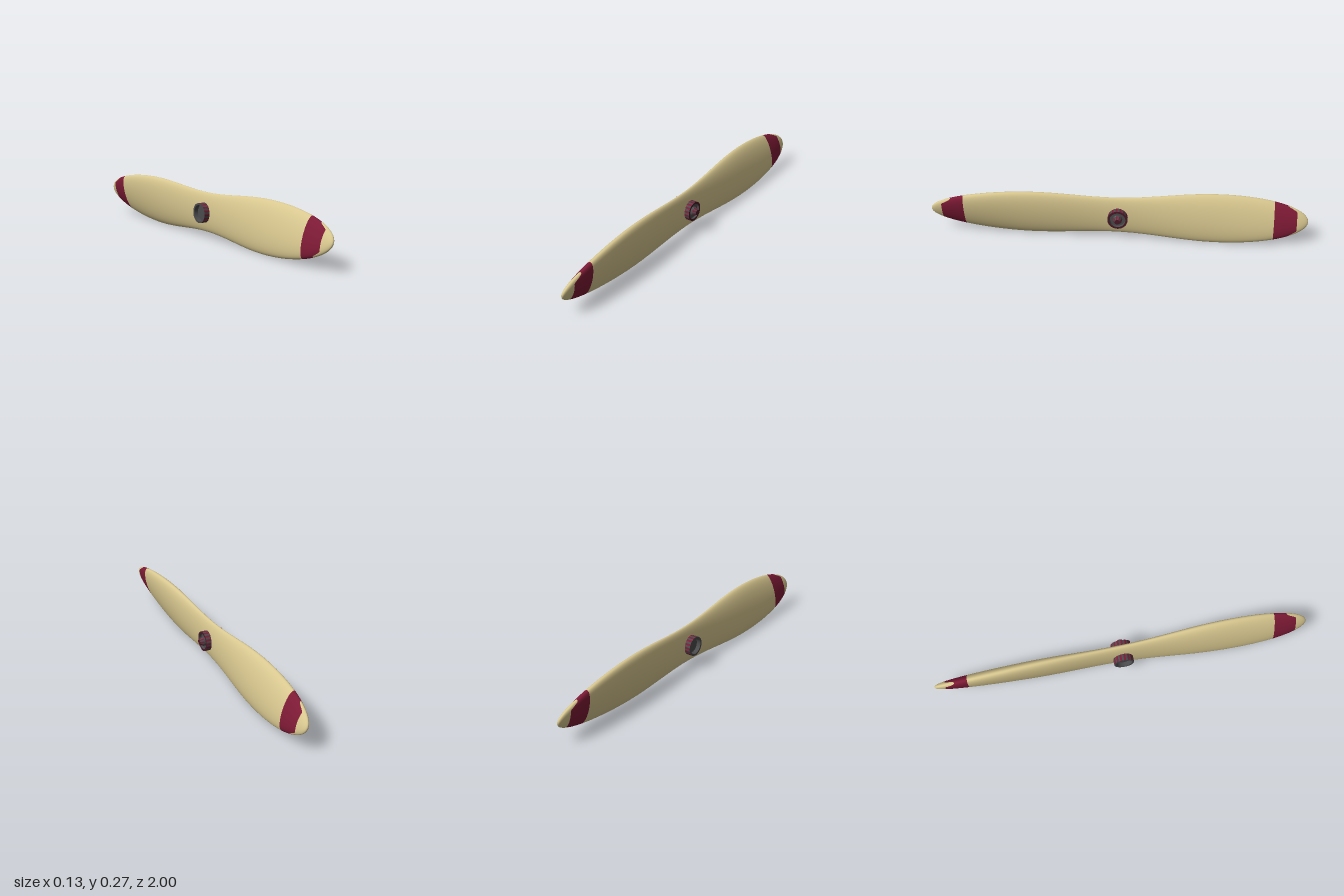
import * as THREE from 'three';
import { ParametricGeometry } from 'three/addons/geometries/ParametricGeometry.js';
import { mergeGeometries } from 'three/addons/utils/BufferGeometryUtils.js';

const CENTER_X = -0.008, CENTER_Y = 0.137;
const mat = (color) => new THREE.MeshStandardMaterial({ color });
const cream = mat(0xd8c78f), red = mat(0x7d1a35), grey = mat(0x4b4b4d), darkRed = mat(0x4a1a28);

function mesh(name, geometry, material) {
  const m = new THREE.Mesh(geometry, material);
  m.name = name;
  return m;
}

// Half width, half thickness and twist of the elliptical blade section at distance z
function section(z) {
  const grow = 0.5 - 0.5 * Math.cos(Math.PI * Math.min(z / 0.5, 1));
  const t = Math.max(0, (z - 0.5) / 0.5);
  const taper = Math.max(0, 1 - t * t);
  return {
    a: (0.106 + 0.03 * grow) * Math.sqrt(taper),
    b: (0.027 + 0.013 * grow) * Math.pow(taper, 0.42),
    twist: THREE.MathUtils.degToRad(20) * z,
  };
}

// Surface between two z limits, which may vary around the section
function bladeSurface(zAt, slices, stacks) {
  return new ParametricGeometry((u, v, target) => {
    const ang = u * Math.PI * 2;
    const z = zAt(ang, v);
    const { a, b, twist } = section(z);
    const x = b * Math.cos(ang), y = a * Math.sin(ang);
    target.set(x * Math.cos(twist) + y * Math.sin(twist),
      y * Math.cos(twist) - x * Math.sin(twist), z);
  }, slices, stacks);
}

// The painted band reaches further out on the faces than on the edges
const BAND = 0.82;
function bandEnd(ang) {
  return 0.94 - 0.05 * THREE.MathUtils.smoothstep(Math.abs(Math.sin(ang)), 0.8, 1);
}

function makeBlade() {
  const blade = new THREE.Group();
  blade.add(
    mesh('bladeBody', bladeSurface((ang, v) => v * BAND, 64, 48), cream),
    mesh('bladeBand', bladeSurface((ang, v) => BAND + (bandEnd(ang) - BAND) * v, 64, 12), red),
    mesh('bladeTip', bladeSurface((ang, v) => {
      const start = bandEnd(ang);
      return start + (0.99999 - start) * Math.sin(v * Math.PI / 2);
    }, 64, 14), cream));
  return blade;
}

// Ring strip around the x axis from (radius, x) to (radius, x)
function strip(r0, x0, r1, x1, segments = 48, start = 0, length = Math.PI * 2) {
  return new THREE.LatheGeometry(
    [new THREE.Vector2(r0, x0), new THREE.Vector2(r1, x1)], segments, start, length)
    .rotateZ(-Math.PI / 2);
}

// Strip split into alternating red and grey sectors
function stripedStrip(name, pairs, r0, x0, r1, x1) {
  const group = new THREE.Group();
  group.name = name;
  const step = Math.PI / pairs;
  [red, grey].forEach((material, k) => {
    const parts = [];
    for (let i = 0; i < pairs; i++) {
      parts.push(strip(r0, x0, r1, x1, 2, (2 * i + k) * step, step));
    }
    group.add(mesh(name + (k ? 'Grey' : 'Red'), mergeGeometries(parts), material));
  });
  return group;
}

function makeHub() {
  const hub = new THREE.Group();
  hub.name = 'hub';
  hub.add(
    stripedStrip('hubBarrel', 16, 0.053, -0.067, 0.053, 0.047),
    // Open cup at the back of the hub
    mesh('backFloor', strip(0, -0.045, 0.041, -0.045), grey),
    mesh('backCupWall', strip(0.041, -0.045, 0.043, -0.067), grey),
    mesh('backRim', strip(0.043, -0.067, 0.053, -0.067), grey),
    // Recessed face around the nose
    mesh('noseRim', strip(0.053, 0.047, 0.042, 0.047), darkRed),
    mesh('noseCupWall', strip(0.042, 0.047, 0.04, 0.036), grey),
    mesh('noseFloor', strip(0.04, 0.036, 0.02, 0.036), grey),
    // Stepped nose
    mesh('noseCollar', strip(0.025, 0.036, 0.024, 0.047), grey),
    stripedStrip('noseCone', 8, 0.024, 0.047, 0.014, 0.066),
    mesh('noseCap', strip(0.014, 0.066, 0, 0.066), darkRed));
  return hub;
}

export function createModel() {
  const model = new THREE.Group();
  model.name = 'propeller';
  // Two blades, the second turned half a circle
  ['frontBlade', 'backBlade'].forEach((name, i) => {
    const blade = makeBlade();
    blade.name = name;
    blade.position.set(CENTER_X, CENTER_Y, 0);
    blade.rotation.y = i * Math.PI;
    model.add(blade);
  });
  const hub = makeHub();
  hub.position.y = CENTER_Y;
  model.add(hub);
  return model;
}
